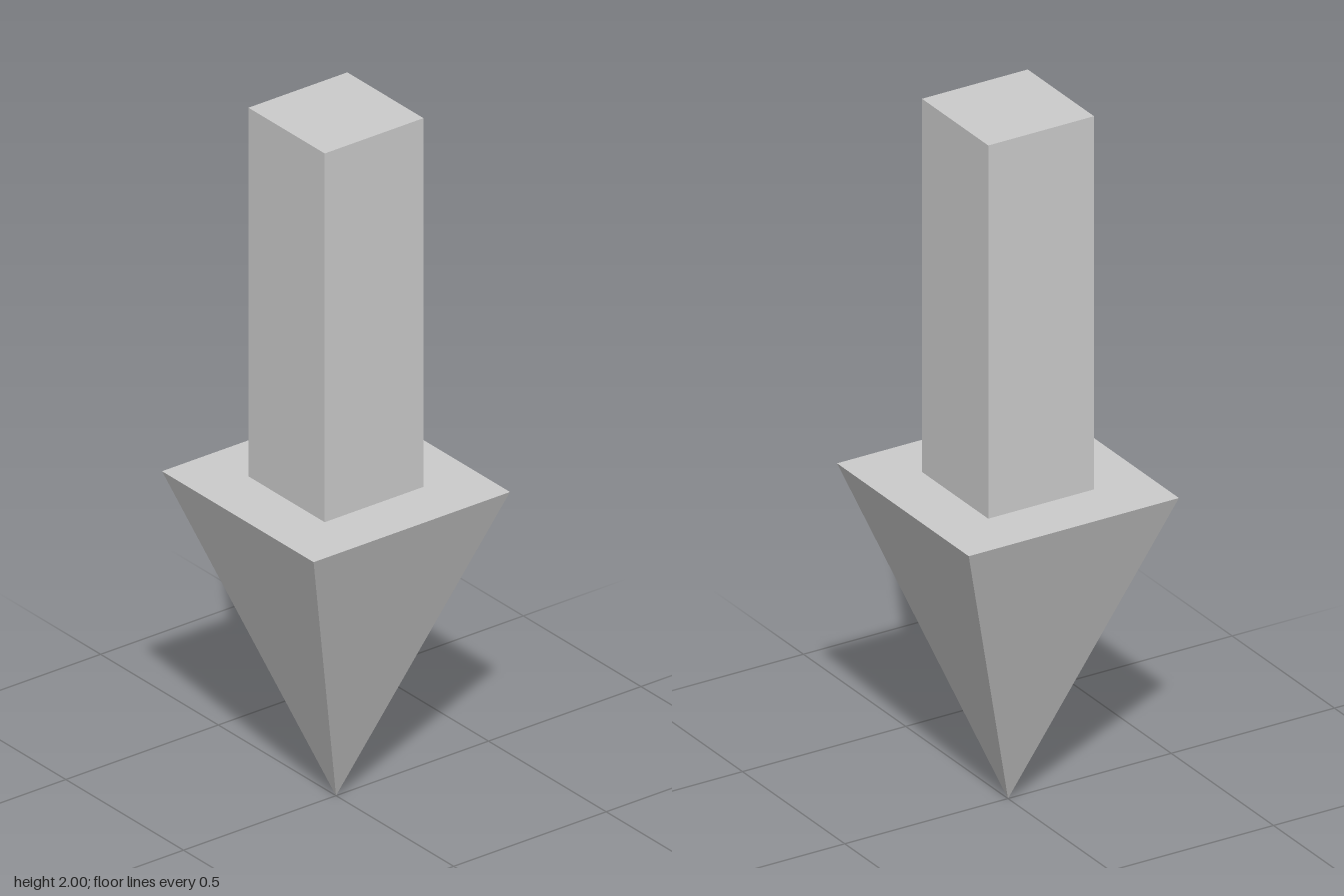
import * as THREE from 'three';

export function createModel() {
  const group = new THREE.Group();
  group.name = 'downArrow';
  const material = new THREE.MeshStandardMaterial({ color: 0xcccccc, flatShading: true });

  const headHeight = 0.92, headHalf = 0.322;
  const shaftHeight = 2 - headHeight, shaftWidth = 0.324;

  // Head: square pyramid pointing down, sides facing the axes
  const head = new THREE.Mesh(
    new THREE.CylinderGeometry(headHalf * Math.SQRT2, 0, headHeight, 4, 1, false, Math.PI / 4),
    material
  );
  head.name = 'arrowHead';
  head.position.y = headHeight / 2;

  // Shaft: square bar standing on the head
  const shaft = new THREE.Mesh(new THREE.BoxGeometry(shaftWidth, shaftHeight, shaftWidth), material);
  shaft.name = 'arrowShaft';
  shaft.position.y = headHeight + shaftHeight / 2;

  group.add(head, shaft);
  return group;
}
